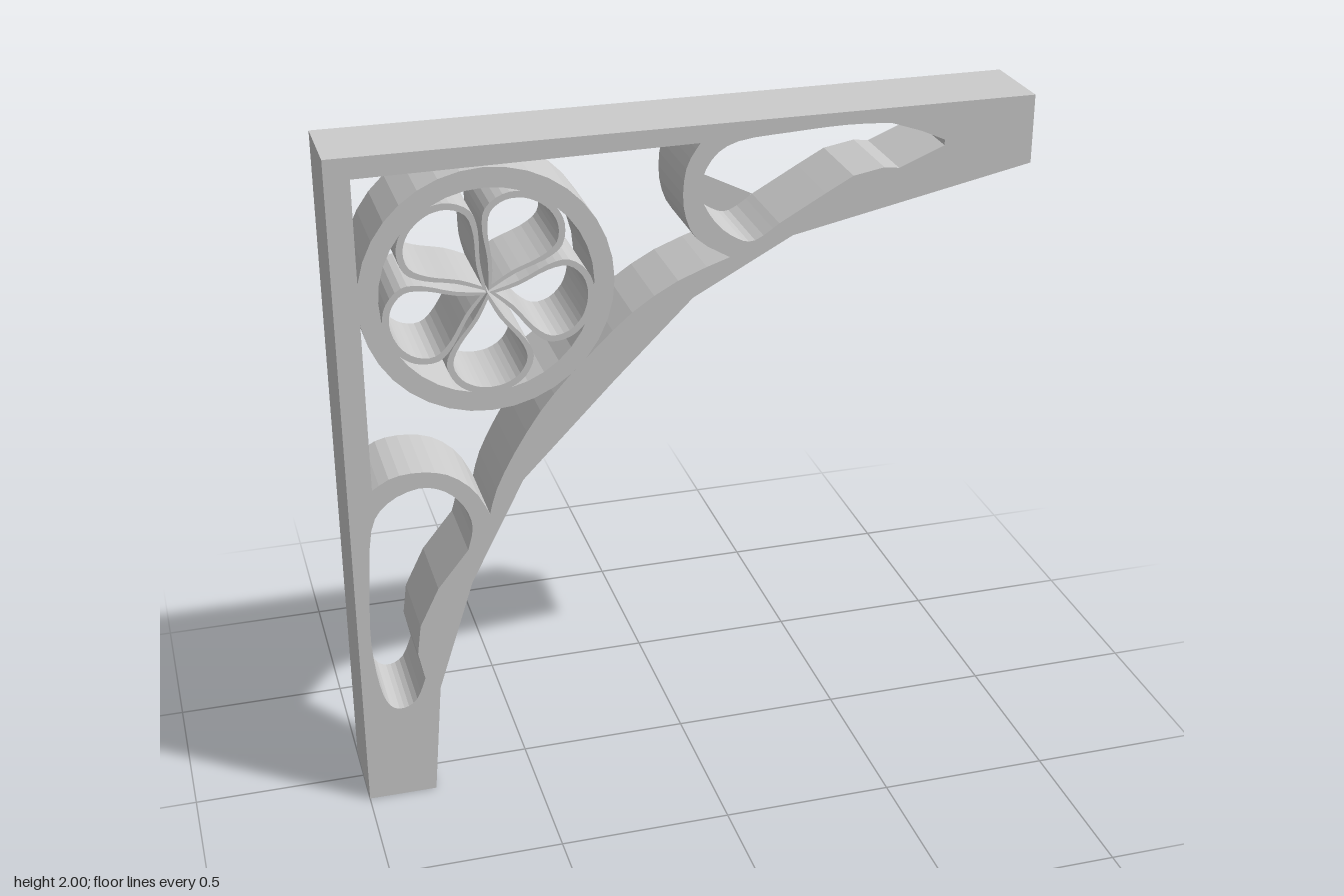
import * as THREE from 'three';

const DEPTH = 0.25;
const material = new THREE.MeshStandardMaterial({ color: 0xcccccc });
const thin = new THREE.MeshStandardMaterial({ color: 0xcccccc, side: THREE.DoubleSide });

const vec = (pts) => pts.map(([x, y]) => new THREE.Vector2(x, y));

// Smooth open curve through a few points
const smooth = (pts, n) => new THREE.SplineCurve(vec(pts)).getPoints(n);

// Slab centred on z = 0; the outline runs counter-clockwise
function slab(name, outline, holes) {
  const shape = new THREE.Shape(outline);
  shape.holes = holes.map((h) => new THREE.Path(h));
  const geo = new THREE.ExtrudeGeometry(shape, { depth: DEPTH, bevelEnabled: false });
  geo.translate(0, 0, -DEPTH / 2);
  const mesh = new THREE.Mesh(geo, material);
  mesh.name = name;
  return mesh;
}

// Thin web lying just over the back face, lapping onto the solid
function backWeb(name, pts) {
  const geo = new THREE.ShapeGeometry(new THREE.Shape(vec(pts)));
  geo.translate(0, 0, -DEPTH / 2 - 0.001);
  const mesh = new THREE.Mesh(geo, thin);
  mesh.name = name;
  return mesh;
}

function circle(r, n) {
  return Array.from({ length: n }, (_, i) => {
    const a = (i / n) * Math.PI * 2;
    return new THREE.Vector2(r * Math.cos(a), r * Math.sin(a));
  });
}

// Counter-clockwise teardrop along +x, mirrored from one half profile
function teardrop(half) {
  const top = smooth(half, 18);
  const bottom = top.map((p) => new THREE.Vector2(p.x, -p.y));
  return [...bottom, ...top.slice(1, -1).reverse()];
}

export function createModel() {
  const group = new THREE.Group();

  // Bracket outline with faceted arch underneath
  const outline = vec([
    [-1, 0], [-0.8, 0], [-0.77, 0.35], [-0.66, 0.69], [-0.5, 1], [-0.23, 1.275],
    [0, 1.5], [0.29, 1.655], [1, 1.8], [1, 2], [-1, 2],
  ]);

  // Long opening in the post: rounded top and foot, faceted arch side
  const postHole = [
    ...smooth([[-0.668, 0.797], [-0.652, 0.87], [-0.674, 0.94], [-0.727, 0.995], [-0.8, 1.015],
      [-0.89, 0.98], [-0.94, 0.9], [-0.957, 0.7], [-0.963, 0.54], [-0.947, 0.39],
      [-0.92, 0.315], [-0.88, 0.3], [-0.84, 0.325], [-0.813, 0.39]], 39),
    ...vec([[-0.83, 0.476], [-0.818, 0.567], [-0.76, 0.684]]),
  ];

  // Long opening in the beam: rounded inner end, faceted tip
  const beamHole = [
    ...smooth([[0.25, 1.695], [0.18, 1.652], [0.128, 1.663], [0.064, 1.717], [0.02, 1.81],
      [0.053, 1.9], [0.128, 1.945], [0.278, 1.957], [0.44, 1.963], [0.57, 1.957]], 27),
    ...vec([[0.663, 1.925], [0.733, 1.893], [0.733, 1.877], [0.6, 1.823], [0.556, 1.829],
      [0.465, 1.813], [0.385, 1.77]]),
  ];

  // Central opening: corner, beam loop, arch edge, post loop
  const mainHole = [
    ...vec([[-0.93, 1.94]]),
    ...smooth([[0.02, 1.95], [-0.02, 1.88], [-0.027, 1.77], [0.01, 1.675], [0.107, 1.61]], 12),
    ...smooth([[0.107, 1.61], [-0.043, 1.556], [-0.176, 1.476], [-0.283, 1.38], [-0.364, 1.3],
      [-0.444, 1.208], [-0.524, 1.086], [-0.578, 0.98], [-0.6, 0.904]], 16).slice(1),
    ...smooth([[-0.6, 0.904], [-0.642, 0.984], [-0.711, 1.043], [-0.79, 1.064],
      [-0.87, 1.059], [-0.93, 1.027]], 12).slice(1),
  ];
  group.add(slab('bracketFrame', outline, [postHole, beamHole, mainHole]));

  // Webs on the back face
  group.add(backWeb('archWeb', [[-0.5, 1], [0.29, 1.655], [0, 1.505], [-0.23, 1.28]]));
  group.add(backWeb('beamHoleWeb', [[0.02, 1.81], [0.05, 1.71], [0.12, 1.65],
    [0.18, 1.642], [0.25, 1.695]]));

  // Rosette: ring with five teardrop petals
  const rosette = new THREE.Group();
  rosette.name = 'rosette';
  rosette.position.set(-0.58, 1.585, 0);
  rosette.add(slab('rosetteRing', circle(0.355, 36), [circle(0.298, 36)]));
  const outer = [[0.004, 0], [0.08, 0.044], [0.15, 0.1], [0.205, 0.122], [0.262, 0.098],
    [0.295, 0.05], [0.305, 0]];
  const inner = [[0.022, 0], [0.08, 0.03], [0.15, 0.083], [0.205, 0.104], [0.252, 0.082],
    [0.278, 0.04], [0.284, 0]];
  for (const degrees of [-90, -14, 59, 130, 202]) {
    const petal = slab('petal', teardrop(outer), [teardrop(inner)]);
    petal.rotation.z = THREE.MathUtils.degToRad(degrees);
    rosette.add(petal);
  }
  group.add(rosette);

  return group;
}
